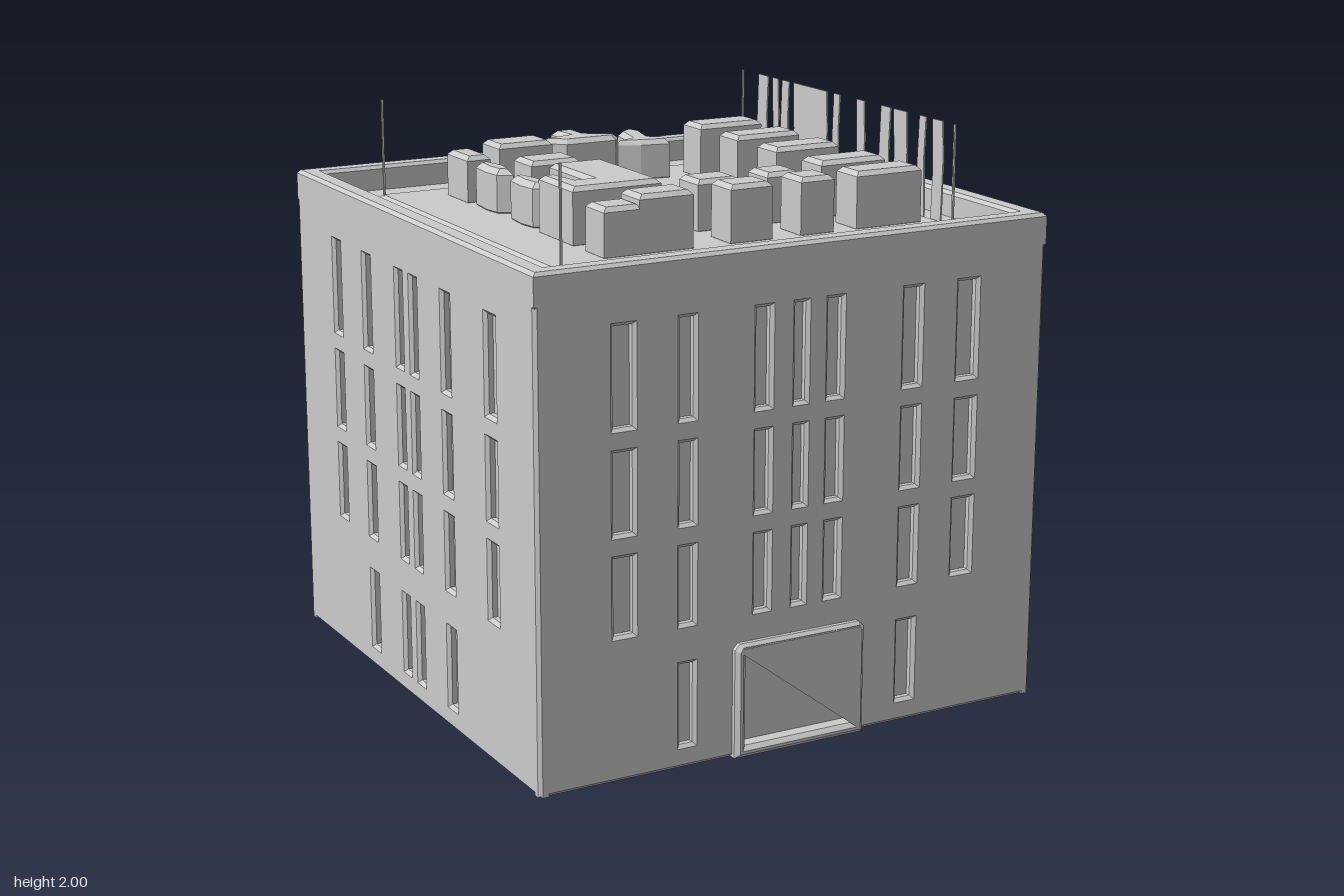
import * as THREE from 'three';

const material = new THREE.MeshStandardMaterial({ color: 0xcccccc, flatShading: true, side: THREE.DoubleSide });

function add(parent, geometry, name) {
  const mesh = new THREE.Mesh(geometry, material);
  mesh.name = name;
  parent.add(mesh);
  return mesh;
}

function outline(points, Type = THREE.Shape) {
  return new Type(points.map(([x, y]) => new THREE.Vector2(x, y)));
}

const rect = (x0, x1, y0, y1) => [[x0, y0], [x1, y0], [x1, y1], [x0, y1]];

// Chamfered slab: the drawn outline is the widest section, ending at z = 0 in front
function slab(shape, thickness, bevel) {
  const g = new THREE.ExtrudeGeometry(shape, {
    depth: thickness - 2 * bevel, bevelEnabled: true, bevelThickness: bevel,
    bevelSize: bevel, bevelOffset: -bevel, bevelSegments: 1, curveSegments: 4,
  });
  return g.translate(0, 0, bevel - thickness);
}

// Upright block from a footprint given as [x, z] points
function block(points, y0, y1, bevel) {
  const g = slab(outline(points.map(([x, z]) => [x, -z])), y1 - y0, bevel);
  return g.rotateX(-Math.PI / 2).translate(0, y1, 0);
}

const ROWS = [[1.19, 1.52], [0.84, 1.11], [0.5, 0.76], [0.08, 0.36]];

// Wall panel with window openings; columns are [centre, width, number of rows]
function wall(name, u0, u1, columns, door) {
  const shape = outline(rect(u0, u1, 0, 1.7));
  for (const [u, w, rows] of columns) {
    for (const [y0, y1] of ROWS.slice(0, rows)) {
      shape.holes.push(outline(rect(u - w / 2, u + w / 2, y0, y1), THREE.Path));
    }
  }
  if (door) shape.holes.push(outline(rect(-0.21, 0.21, 0.04, 0.38), THREE.Path));
  const mesh = new THREE.Mesh(slab(shape, 0.045, 0.012), material);
  mesh.name = name;
  return mesh;
}

export function createModel() {
  const model = new THREE.Group();
  model.name = 'officeBuilding';

  // Solid core: its faces form the window panes, its top the roof
  add(model, new THREE.BoxGeometry(1.86, 1.63, 1.89).translate(0, 0.815, -0.015), 'core');

  // Four walls
  const front = wall('frontWall', -0.96, 0.96, [
    [-0.65, 0.07, 3], [-0.42, 0.05, 4], [-0.14, 0.05, 3], [0, 0.04, 3],
    [0.13, 0.05, 3], [0.43, 0.06, 4], [0.65, 0.07, 3]], true);
  front.position.z = 0.96;

  const back = wall('backWall', -0.96, 0.96,
    [-0.66, -0.42, -0.13, 0, 0.13, 0.43, 0.67].map((u) => [u, 0.055, 4]));
  back.rotation.y = Math.PI;
  back.position.z = -0.99;

  const left = wall('leftWall', -0.96, 0.99, [
    [-0.65, 0.08, 3], [-0.37, 0.05, 4], [-0.09, 0.04, 4], [0.05, 0.05, 4],
    [0.48, 0.06, 4], [0.66, 0.05, 3]]);
  left.rotation.y = Math.PI / 2;
  left.position.x = 0.96;

  const right = wall('rightWall', -0.99, 0.96, [
    [-0.63, 0.06, 3], [-0.36, 0.06, 4], [-0.08, 0.05, 4], [0.04, 0.05, 4],
    [0.3, 0.06, 4], [0.64, 0.07, 3]]);
  right.rotation.y = -Math.PI / 2;
  right.position.x = -0.96;
  model.add(front, back, left, right);

  // Entrance surround
  const surround = outline([[-0.25, 0], [0.25, 0], [0.25, 0.38], [0.23, 0.4], [-0.23, 0.4], [-0.25, 0.38]]);
  surround.holes.push(outline(rect(-0.21, 0.21, 0.04, 0.375), THREE.Path));
  add(model, slab(surround, 0.06, 0.015).translate(0, 0, 0.99), 'entranceSurround');

  // Parapet ring around the sunken roof
  const ring = outline(rect(-0.96, 0.96, -0.96, 0.99));
  ring.holes.push(outline(rect(-0.885, 0.885, -0.885, 0.915), THREE.Path));
  add(model, slab(ring, 0.12, 0.012).rotateX(-Math.PI / 2).translate(0, 1.72, 0), 'parapet');

  // Raised roof deck
  add(model, block(rect(-0.76, 0.76, -0.73, 0.74), 1.6, 1.655, 0.02), 'roofDeck');

  // Rectangular roof units: x0, x1, z0, z1, top
  const roof = new THREE.Group();
  roof.name = 'roofUnits';
  model.add(roof);
  const units = [
    [-0.41, -0.2, -0.57, -0.43, 1.85], [-0.41, -0.22, -0.31, -0.17, 1.83],
    [-0.54, -0.45, -0.59, -0.42, 1.82],
    [-0.54, -0.4, 0.49, 0.62, 1.82], [-0.41, -0.21, 0.49, 0.62, 1.85],
    [-0.07, 0.09, 0.27, 0.4, 1.83], [-0.07, 0.09, 0.49, 0.62, 1.85],
    [0.2, 0.33, 0.27, 0.4, 1.83], [0.21, 0.33, 0.15, 0.28, 1.77], [0.2, 0.33, 0.49, 0.62, 1.85],
  ];
  for (const z of [-0.51, -0.24, 0.03, 0.33, 0.555]) units.push([0.42, 0.68, z - 0.065, z + 0.065, 1.85]);
  for (const [x0, x1, z0, z1, top] of units) add(roof, block(rect(x0, x1, z0, z1), 1.64, top, 0.016), 'roofUnit');

  // L-shaped unit and the irregular plant along the rear and right
  add(roof, block([[-0.41, -0.03], [-0.21, -0.03], [-0.21, 0.4], [-0.54, 0.4], [-0.54, 0.15],
    [-0.48, 0.15], [-0.46, 0.27], [-0.41, 0.27]], 1.64, 1.85, 0.016), 'cornerUnit');
  for (const z of [-0.27, 0.01]) {
    add(roof, block([[-0.53, z - 0.1], [-0.48, z - 0.11], [-0.455, z], [-0.48, z + 0.1], [-0.53, z + 0.07], [-0.54, z]],
      1.64, 1.81, 0.02), 'ventLump');
  }
  add(roof, block([[-0.17, -0.58], [-0.05, -0.62], [-0.06, -0.72], [0.03, -0.72], [0.03, -0.62],
    [0.13, -0.55], [0.1, -0.51], [-0.1, -0.51]], 1.64, 1.83, 0.018), 'rearPlant');
  add(roof, block([[0.12, -0.56], [0.2, -0.6], [0.23, -0.74], [0.3, -0.79], [0.32, -0.72],
    [0.29, -0.6], [0.34, -0.56], [0.32, -0.5], [0.21, -0.52]], 1.64, 1.8, 0.018), 'rearPlant');

  // Row of thin upright screen slats on the left roof edge: z0, z1
  const slats = [[0.58, 0.64], [0.5, 0.54], [0.34, 0.42], [0.26, 0.32], [0.1, 0.15], [-0.05, -0.01],
    [-0.33, -0.1], [-0.41, -0.36], [-0.48, -0.44], [-0.58, -0.51]];
  slats.forEach(([z0, z1], i) => {
    const skew = i % 2 ? 0.008 : -0.008;
    const shape = outline([[-z1, 1.63], [-z0, 1.63], [-z0 + skew, 1.83], [-z0, 2], [-z1, 2], [-z1 + skew, 1.86]]);
    const g = new THREE.ExtrudeGeometry(shape, { depth: 0.006, bevelEnabled: false });
    add(model, g.rotateY(Math.PI / 2).translate(0.747, 0, 0), 'screenSlat');
  });

  // Corner masts
  for (const [x, z] of [[-0.74, 0.71], [-0.74, -0.7], [0.75, -0.7], [0.75, 0.71]]) {
    add(model, new THREE.BoxGeometry(0.007, 0.38, 0.007).translate(x, 1.81, z), 'mast');
  }

  return model;
}
